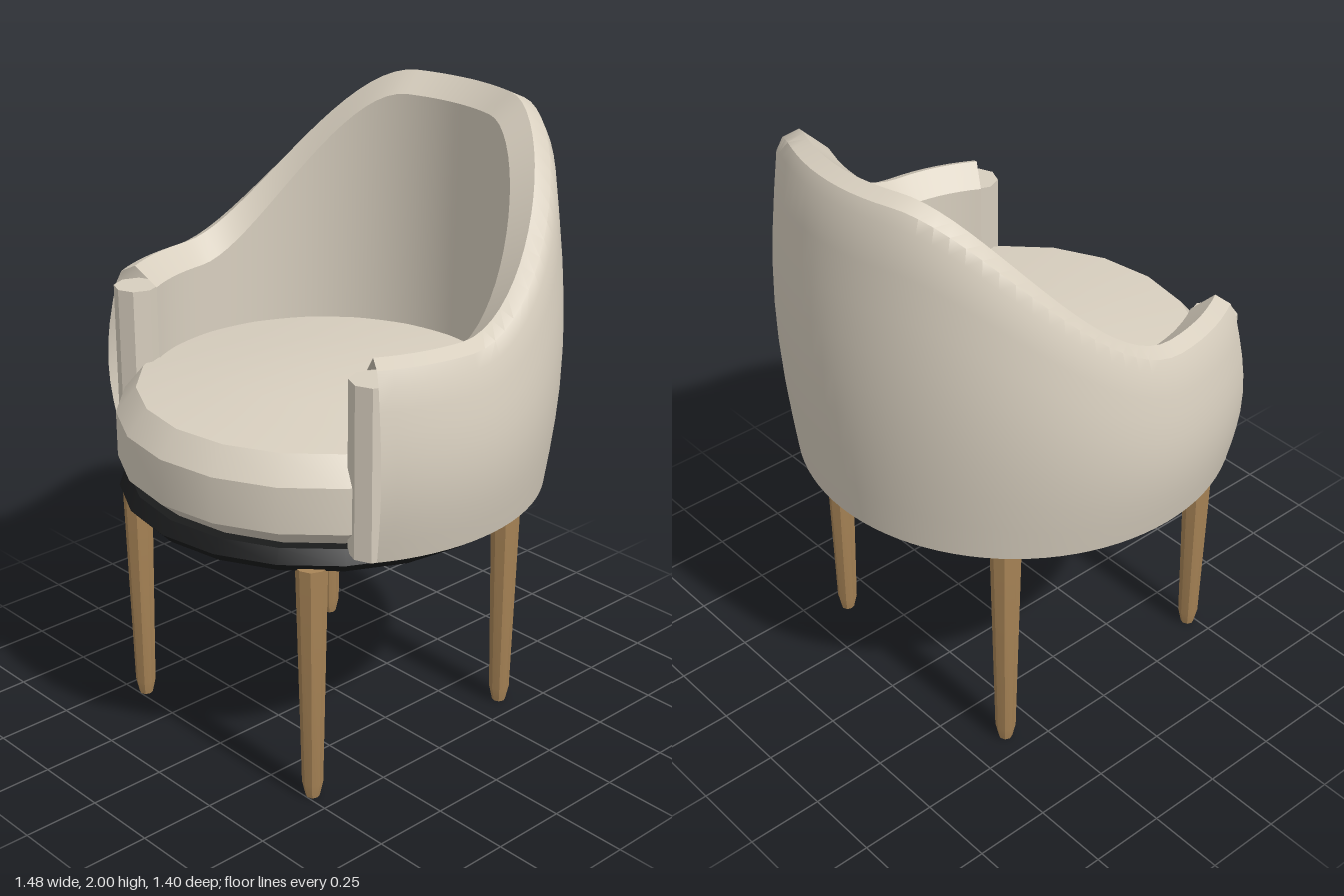
import * as THREE from 'three';
import { toCreasedNormals } from 'three/addons/utils/BufferGeometryUtils.js';

const CENTRE_Z = 0.045;

// Height of the rim crest at an angle (degrees) away from the middle of the back
function crestHeight(angle) {
  return 2.0 - 0.545 * THREE.MathUtils.smoothstep(Math.abs(angle), 19, 94);
}

// Closed wall section at one angle, as [radius, height] pairs
function shellSection(angle) {
  const bottom = 0.845, top = crestHeight(angle), shoulder = top - 0.065;
  const points = [];
  const steps = 8;
  for (let i = 0; i <= steps; i++) {
    const t = i / steps;
    points.push([0.7 + 0.04 * Math.sin(Math.PI * t), bottom + (shoulder - bottom) * t]);
  }
  points.push([0.68, top - 0.022], [0.632, top], [0.56, shoulder], [0.56, bottom], [0.7, bottom]);
  return points;
}

// Wrap-around back and arms, swept through 240 degrees
function shellGeometry() {
  const columns = 64, positions = [], index = [];
  let rows = 0;
  for (let c = 0; c <= columns; c++) {
    const angle = -120 + (240 * c) / columns;
    const a = THREE.MathUtils.degToRad(angle);
    const section = shellSection(angle);
    rows = section.length;
    for (const [r, y] of section) positions.push(r * Math.sin(a), y, 0.04 - r * Math.cos(a));
  }
  for (let c = 0; c < columns; c++) {
    for (let r = 0; r < rows - 1; r++) {
      const p = c * rows + r, q = p + rows;
      index.push(p, p + 1, q, p + 1, q + 1, q);
    }
  }
  const geometry = new THREE.BufferGeometry();
  geometry.setAttribute('position', new THREE.Float32BufferAttribute(positions, 3));
  geometry.setIndex(index);
  return toCreasedNormals(geometry, 0.7);
}

// Turned part from [radius, height] pairs, bottom to top
function turned(profile, sides) {
  const points = profile.map(([r, y]) => new THREE.Vector2(r, y));
  return toCreasedNormals(new THREE.LatheGeometry(points, sides), 0.5);
}

export function createModel() {
  const cream = new THREE.MeshStandardMaterial({ color: 0xd8cfbf, side: THREE.DoubleSide });
  cream.name = 'cream upholstery';
  const black = new THREE.MeshStandardMaterial({ color: 0x1a1b1c });
  black.name = 'black base';
  const wood = new THREE.MeshStandardMaterial({ color: 0xa98557 });
  wood.name = 'brown wood';

  const chair = new THREE.Group();
  chair.name = 'tubArmchair';
  const add = (name, geometry, material, x = 0, y = 0, z = 0) => {
    const mesh = new THREE.Mesh(geometry, material);
    mesh.name = name;
    mesh.position.set(x, y, z);
    chair.add(mesh);
  };

  add('backAndArms', shellGeometry(), cream);

  // Domed seat cushion with chamfered edges
  add('seatCushion', turned([
    [0, 0.86], [0.585, 0.86], [0.65, 0.918], [0.65, 1.066],
    [0.585, 1.146], [0.29, 1.181], [0, 1.19],
  ], 20), cream, 0, 0, 0.05);

  // Dark disc under the seat
  add('seatBase', turned([
    [0, 0.785], [0.615, 0.785], [0.645, 0.817], [0.615, 0.858], [0, 0.858],
  ], 20), black, 0, 0, 0.055);

  // Octagonal posts closing the arm fronts
  const post = toCreasedNormals(new THREE.CylinderGeometry(0.072, 0.072, 0.545, 8), 0.5);
  // Tapered legs
  const leg = turned([
    [0, 0], [0.022, 0], [0.033, 0.05], [0.049, 0.795], [0, 0.795],
  ], 8);
  for (const [side, s] of [['left', 1], ['right', -1]]) {
    add(side + 'ArmPost', post, cream, s * 0.548, 1.1175, 0.354);
    add(side + 'FrontLeg', leg, wood, s * 0.42, 0, CENTRE_Z + 0.432);
    add(side + 'BackLeg', leg, wood, s * 0.42, 0, CENTRE_Z - 0.41);
  }
  return chair;
}
